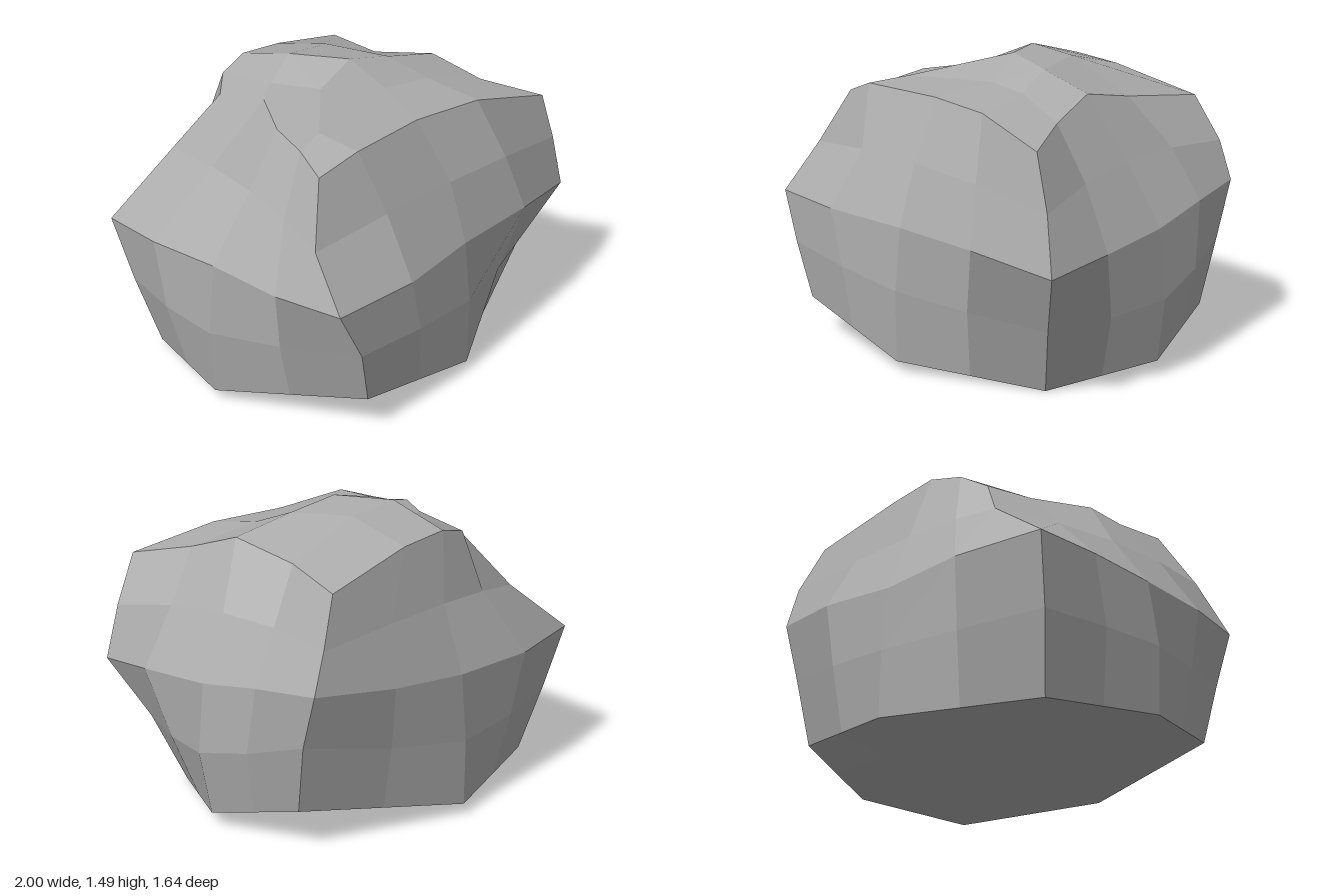
import * as THREE from 'three';

// Rings start at the front-left corner and run round by the front, the +x side,
// the back and the -x side. Eight points: corners and middles in turn.
const BASE = [[-0.73, 0.2, 0.75], [0, 0.06, 0.82], [0.68, 0, 0.49], [0.95, 0.08, -0.02],
  [0.84, 0.22, -0.51], [0, 0.06, -0.82], [-0.78, 0.025, -0.57], [-0.98, 0.06, 0]];

const LOWER = [[-0.81, 0.49, 0.775], [0, 0.42, 0.82], [0.8, 0.36, 0.61], [1, 0.41, 0],
  [0.88, 0.58, -0.585], [0, 0.4, -0.82], [-0.86, 0.4, -0.66], [-1, 0.4, 0]];

const UPPER = [[-0.87, 0.98, 0.555], [0, 1.03, 0.68], [0.89, 0.96, 0.72], [0.785, 1.055, 0.04],
  [0.82, 1.05, -0.66], [0, 1.07, -0.66], [-0.55, 1.03, -0.64], [-0.73, 1.07, 0.04]];

// Widest ring, sixteen points: its middles are slightly drawn in.
const WAIST = [
  [-0.93, 0.74, 0.745], [-0.48, 0.74, 0.81], [0, 0.73, 0.78], [0.5, 0.73, 0.805],
  [0.95, 0.68, 0.755], [0.98, 0.725, 0.41], [0.96, 0.755, 0], [0.94, 0.82, -0.34],
  [0.89, 0.855, -0.67], [0.46, 0.8, -0.77], [0, 0.74, -0.785], [-0.46, 0.735, -0.815],
  [-0.91, 0.74, -0.74], [-0.95, 0.74, -0.4], [-0.955, 0.75, 0], [-0.97, 0.74, 0.4],
];

// Crown: rows from front to back, each running from -x to +x.
const CROWN = [
  [[-0.72, 1.26, 0.455], [-0.51, 1.33, 0.51], [-0.04, 1.32, 0.5], [0.36, 1.31, 0.58], [0.8, 1.22, 0.69]],
  [[-0.62, 1.3, 0.26], [-0.48, 1.34, 0.26], [0.08, 1.37, 0.22], [0.34, 1.36, 0.29], [0.66, 1.28, 0.4]],
  [[-0.57, 1.34, 0.08], [-0.2, 1.41, 0.04], [0.04, 1.49, 0.03], [0.29, 1.44, 0.08], [0.61, 1.37, 0.13]],
  [[-0.38, 1.36, -0.17], [-0.24, 1.38, -0.25], [-0.09, 1.49, -0.25], [0.19, 1.46, -0.24], [0.575, 1.305, -0.22]],
  [[-0.36, 1.3, -0.48], [-0.25, 1.36, -0.56], [-0.07, 1.405, -0.585], [0.2, 1.38, -0.58], [0.7, 1.275, -0.6]],
];

// Point between corner a and middle m, with b the far corner:
// bulge 0 lies on the straight edge, bulge 1 on the curve through all three.
const between = (a, m, b, bulge) =>
  a.map((v, k) => (v + m[k]) / 2 + bulge * (2 * m[k] - v - b[k]) / 8);

const average = (...points) =>
  points[0].map((_, k) => points.reduce((sum, p) => sum + p[k], 0) / points.length);

// Expands eight ring points to sixteen.
function expandRing(ring, bulge) {
  const out = [];
  for (let i = 0; i < 8; i += 2) {
    const a = ring[i], m = ring[i + 1], b = ring[(i + 2) % 8];
    out.push(a, between(a, m, b, bulge), m, between(b, m, a, bulge));
  }
  return out;
}

// Rim of the crown, in the same order as the rings.
function crownRim() {
  const out = [];
  for (let i = 0; i < 4; i++) out.push(CROWN[0][i]);
  for (let i = 0; i < 4; i++) out.push(CROWN[i][4]);
  for (let i = 4; i > 0; i--) out.push(CROWN[4][i]);
  for (let i = 4; i > 0; i--) out.push(CROWN[i][0]);
  return out;
}

// Builds four-cornered facets, each with a single normal from its diagonals.
function facetMesh(name, quads, material) {
  const positions = [], normals = [];
  for (const quad of quads) {
    const [a, b, c, d] = quad.map((p) => new THREE.Vector3(...p));
    const n = c.clone().sub(a).cross(d.clone().sub(b)).normalize();
    for (const p of [a, b, c, a, c, d]) {
      positions.push(p.x, p.y, p.z);
      normals.push(n.x, n.y, n.z);
    }
  }
  const geometry = new THREE.BufferGeometry();
  geometry.setAttribute('position', new THREE.Float32BufferAttribute(positions, 3));
  geometry.setAttribute('normal', new THREE.Float32BufferAttribute(normals, 3));
  const mesh = new THREE.Mesh(geometry, material);
  mesh.name = name;
  return mesh;
}

export function createModel() {
  const group = new THREE.Group();
  group.name = 'boulder';
  const stone = new THREE.MeshStandardMaterial({ color: 0xaaaaaa });
  stone.name = 'grey stone';

  // Sides
  const rings = [expandRing(BASE, 0), expandRing(LOWER, 0.5), WAIST, expandRing(UPPER, 1), crownRim()];
  const sides = [];
  for (let r = 0; r < 4; r++) {
    for (let i = 0; i < 16; i++) {
      const n = (i + 1) % 16;
      sides.push([rings[r][i], rings[r][n], rings[r + 1][n], rings[r + 1][i]]);
    }
  }
  group.add(facetMesh('boulderSides', sides, stone));

  // Crown
  const crown = [];
  for (let j = 0; j < 4; j++) {
    for (let i = 0; i < 4; i++) {
      crown.push([CROWN[j][i], CROWN[j][i + 1], CROWN[j + 1][i + 1], CROWN[j + 1][i]]);
    }
  }
  group.add(facetMesh('boulderCrown', crown, stone));

  // Underside: each quarter is a two by two patch between a corner and the centre
  const underside = [];
  const centre = [0, 0.06, 0];
  for (let i = 0; i < 16; i += 4) {
    const at = (k) => rings[0][(i + k + 16) % 16];
    const inner = average(at(0), at(2), at(-2), centre);
    const nextSpoke = average(at(2), centre);
    const lastSpoke = average(at(-2), centre);
    underside.push(
      [inner, at(1), at(0), at(-1)],
      [nextSpoke, at(2), at(1), inner],
      [lastSpoke, inner, at(-1), at(-2)],
      [centre, nextSpoke, inner, lastSpoke],
    );
  }
  group.add(facetMesh('boulderUnderside', underside, stone));

  return group;
}
